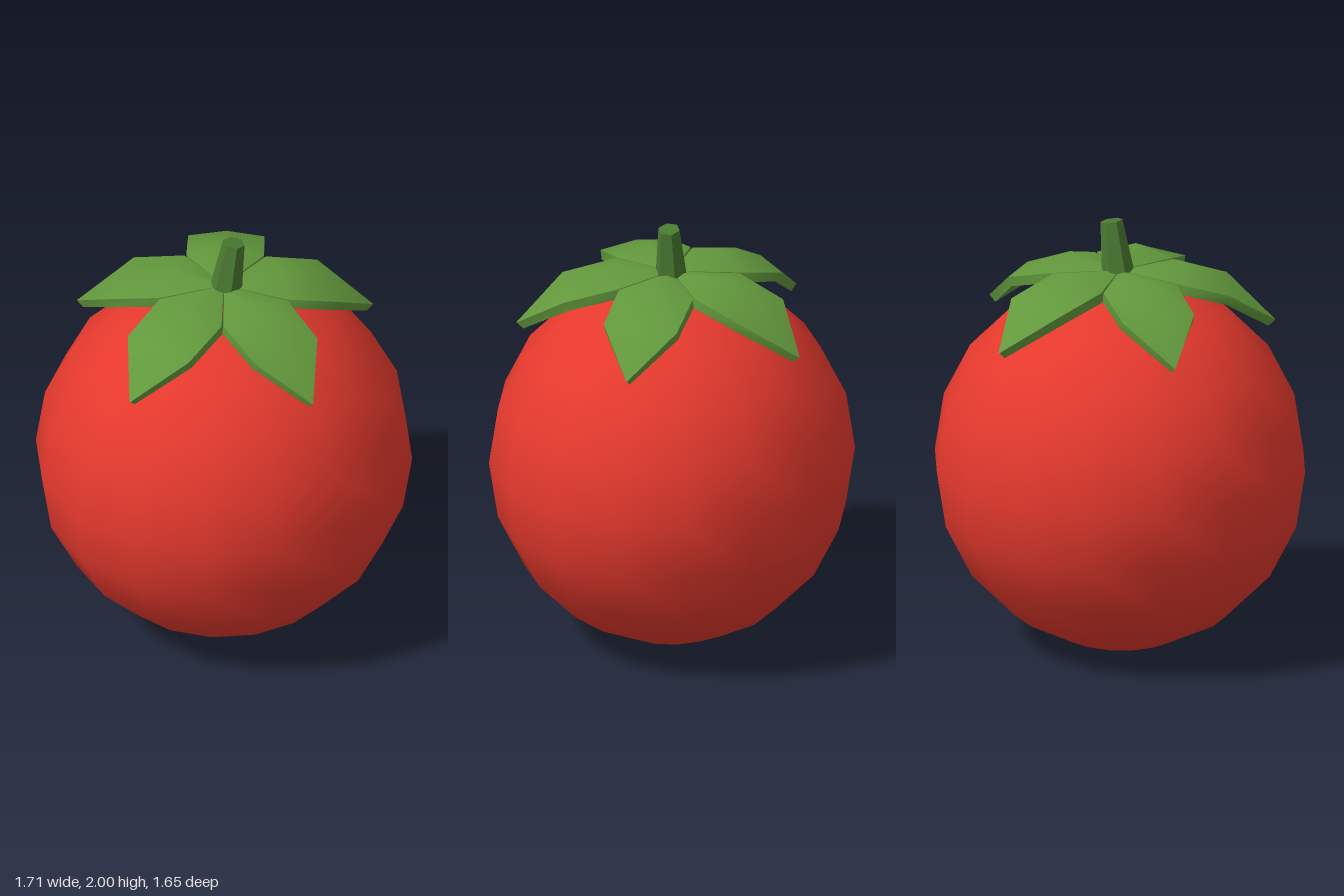
import * as THREE from 'three';
import { toCreasedNormals } from 'three/addons/utils/BufferGeometryUtils.js';

// Leaf stations from stem to tip: [radius, edge height, half width, ridge lift, underside inset, thickness]
const LEAF_STATIONS = [
  [0.03, 1.765, 0.02, 0.005, 0, 0.05],
  [0.25, 1.755, 0.175, 0.05, 0.01, 0.045],
  [0.49, 1.69, 0.172, 0.022, 0.02, 0.04],
  [0.70, 1.52, 0.003, 0, 0.03, 0.03],
];

// Six-point cross-sections (ridged top, ridged underside) joined into a closed leaf
function leafGeometry() {
  const points = [];
  const index = [];
  for (const [r, y, w, lift, inset, t] of LEAF_STATIONS) {
    const ridge = r + lift * 0.4;
    points.push(
      r, y, w, ridge, y + lift, 0, r, y, -w,
      r - inset, y - t, -w, ridge - inset, y + lift - t, 0, r - inset, y - t, w,
    );
  }
  for (let i = 0; i < LEAF_STATIONS.length - 1; i++) {
    for (let j = 0; j < 6; j++) {
      const a = i * 6 + j;
      const d = i * 6 + (j + 1) % 6;
      index.push(a, a + 6, d + 6, a, d + 6, d);
    }
  }
  const tip = (LEAF_STATIONS.length - 1) * 6;
  for (let j = 1; j < 5; j++) index.push(tip, tip + j, tip + j + 1);
  const geometry = new THREE.BufferGeometry();
  geometry.setAttribute('position', new THREE.Float32BufferAttribute(points, 3));
  geometry.setIndex(index);
  return toCreasedNormals(geometry, 0.85);
}

// Six-sided stem that leans towards +x, with a slanted cut on top
function stemGeometry() {
  const geometry = new THREE.CylinderGeometry(0.05, 0.08, 0.3, 6);
  const pos = geometry.attributes.position;
  for (let i = 0; i < pos.count; i++) {
    if (pos.getY(i) > 0) {
      pos.setY(i, pos.getY(i) - pos.getX(i) * 0.17);
      pos.setX(i, pos.getX(i) + 0.046);
    }
  }
  geometry.translate(0, 1.842, 0);
  geometry.computeVertexNormals();
  return geometry;
}

export function createModel() {
  const model = new THREE.Group();
  model.name = 'tomato';

  // Fruit: a slightly flattened, smooth low-poly sphere
  const fruit = new THREE.Mesh(
    new THREE.SphereGeometry(1, 16, 10).scale(0.855, 0.86, 0.825),
    new THREE.MeshStandardMaterial({ color: 0xe5392d }),
  );
  fruit.name = 'fruit';
  fruit.position.y = 0.86;
  model.add(fruit);

  // Five leaves around the stem
  const leaves = new THREE.Group();
  leaves.name = 'leaves';
  const leafShape = leafGeometry();
  const leafMaterial = new THREE.MeshStandardMaterial({ color: 0x62983c });
  for (let k = 0; k < 5; k++) {
    const leaf = new THREE.Mesh(leafShape, leafMaterial);
    leaf.name = `leaf${k + 1}`;
    leaf.rotation.y = (k * Math.PI * 2) / 5;
    leaves.add(leaf);
  }
  model.add(leaves);

  // Stem
  const stem = new THREE.Mesh(
    stemGeometry(),
    new THREE.MeshStandardMaterial({ color: 0x4a7a32, flatShading: true }),
  );
  stem.name = 'stem';
  model.add(stem);

  return model;
}
